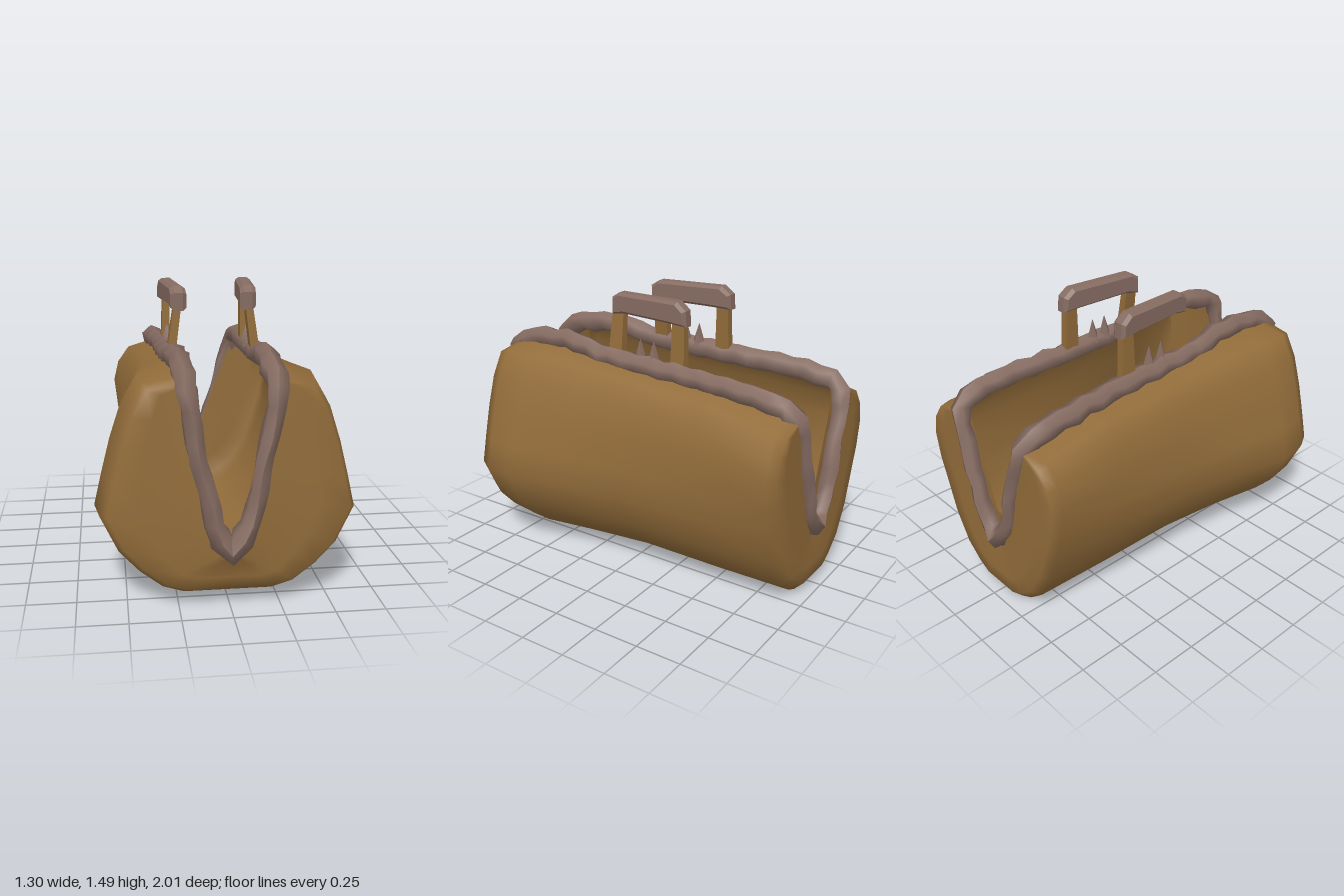
import * as THREE from 'three';

// Half sections from rim to floor: x as a share of width, y as a share of height.
// The front is a low round barrel, the back end has high shoulders and a narrow floor.
const FRONT = [[0.36, 1], [0.66, 0.97], [0.78, 0.85], [0.87, 0.69], [0.94, 0.53], [1, 0.38],
  [0.86, 0.21], [0.7, 0.11], [0.52, 0.03], [0.35, 0], [0, 0]];
const BACK = [[0.55, 1], [0.82, 0.95], [0.95, 0.86], [1, 0.75], [0.95, 0.6], [0.85, 0.45],
  [0.74, 0.28], [0.56, 0.12], [0.37, 0.04], [0.22, 0], [0, 0]];
// Stations along the bag: z, half width, floor y, rim y, share of the back section
const STATIONS = [[-0.955, 0.505, 0.06, 1.03, 1], [-0.9, 0.525, 0.006, 1.04, 0.9],
  [-0.5, 0.525, 0.03, 1.09, 0.45], [-0.05, 0.535, 0.05, 1.11, 0.25], [0.3, 0.575, 0.045, 1.14, 0.1],
  [0.62, 0.65, 0.045, 1.16, 0], [0.8, 0.625, 0.06, 1.15, 0], [0.87, 0.59, 0.1, 1.13, 0]];

// Open barrel whose end walls are cut by a V; inset and endInset shrink it for the lining
function shellGeometry(inset, endInset, frontTip, backTip, edgeZ) {
  const last = FRONT.length - 1;
  const section = ([z, w, b, t, back]) => FRONT.map(([fu, fv], i) => {
    const u = fu + (BACK[i][0] - fu) * back, v = fv + (BACK[i][1] - fv) * back;
    return i === 0
      ? [0.23 - 0.03 * z, t, z * (1 - endInset)]
      : [u * (w - inset), b + inset + v * (t - b - inset), z * (1 - endInset)];
  });
  const endRows = (row, tip, tipZ) => [0.3, 0.65, 1].map(s => row.map(([x, y, z], i) => {
    const f = i / last, drop = Math.min(1, f / 0.8);
    const edge = [row[0][0] * (1 - f), row[0][1] + (tip - row[0][1]) * drop, z + (tipZ - z) * f];
    return [x + (edge[0] - x) * s, y + (edge[1] - y) * s, z + (edge[2] - z) * s * s];
  }));
  const body = STATIONS.map(section);
  const rows = [
    ...endRows(body[0], backTip, -edgeZ).reverse(),
    ...body,
    ...endRows(body[body.length - 1], frontTip, edgeZ),
  ];
  const cols = 2 * last + 1, pos = [], index = [];
  rows.forEach(row => {
    for (let c = 0; c < cols; c++) {
      const [x, y, z] = row[c <= last ? c : 2 * last - c];
      pos.push(c <= last ? x : -x, y, z);
    }
  });
  for (let r = 0; r < rows.length - 1; r++) {
    for (let c = 0; c < cols - 1; c++) {
      const a = r * cols + c, d = a + cols;
      index.push(a, d, a + 1, a + 1, d, d + 1);
    }
  }
  const g = new THREE.BufferGeometry();
  g.setAttribute('position', new THREE.Float32BufferAttribute(pos, 3));
  g.setIndex(index);
  g.computeVertexNormals();
  return g;
}

// Lumpy closed frame: up the front V, along one rim, round the back V and home
function frameGeometry() {
  const side = [[0.075, 0.42, 0.94], [0.162, 0.8, 0.925], [0.215, 1.1, 0.89], [0.215, 1.17, 0.72],
    [0.228, 1.185, 0.45], [0.238, 1.14, 0.25], [0.245, 1.115, -0.3], [0.27, 1.1, -0.65],
    [0.27, 1.05, -0.92], [0.19, 0.8, -0.945], [0.1, 0.48, -0.945]];
  const pts = [[0, 0.325, 0.935], ...side, [0, 0.345, -0.935],
    ...side.slice().reverse().map(([x, y, z]) => [-x, y, z])];
  const curve = new THREE.CatmullRomCurve3(
    pts.map(p => new THREE.Vector3(...p)), true, 'catmullrom', 0.2);
  const steps = 84, sides = 6;
  const g = new THREE.TubeGeometry(curve, steps, 1, sides, true);
  const p = g.attributes.position, v = new THREE.Vector3();
  for (let i = 0; i < p.count; i++) {
    // Slim legs, wider rims and a knob at the foot of each V
    const centre = curve.getPointAt((Math.floor(i / (sides + 1)) % steps) / steps);
    const radius = centre.y < 0.4 ? 0.066 : centre.y < 1.02 ? 0.047 : 0.058;
    v.fromBufferAttribute(p, i).sub(centre).multiplyScalar(radius).add(centre);
    p.setXYZ(i, v.x + 0.008 * Math.sin(31 * v.z + 17 * v.y),
      v.y + 0.008 * Math.sin(43 * v.z + 21 * v.x), v.z + 0.005 * Math.sin(29 * v.y + 13 * v.x));
  }
  g.computeVertexNormals();
  return g;
}

// Sideways position of a handle at a given z; the pair closes slightly toward the front
const handleX = z => 0.205 - 0.085 * (z + 0.05);

function gripGeometry(side) {
  const outline = [[-0.275, 1.39], [-0.27, 1.45], [-0.225, 1.485], [0.15, 1.48], [0.19, 1.455],
    [0.19, 1.385], [0.12, 1.4], [-0.18, 1.395]];
  const g = new THREE.ExtrudeGeometry(new THREE.Shape(outline.map(p => new THREE.Vector2(...p))),
    { depth: 0.045, bevelSize: 0.015, bevelThickness: 0.02, bevelSegments: 1 });
  g.translate(0, 0, -0.0225).rotateY(-Math.PI / 2);
  const p = g.attributes.position;
  for (let i = 0; i < p.count; i++) p.setX(i, p.getX(i) + side * handleX(p.getZ(i)));
  g.computeVertexNormals();
  return g;
}

// Four-sided tapered strap between two points
function postGeometry(from, to) {
  const curve = new THREE.LineCurve3(from, to);
  const g = new THREE.CylinderGeometry(0.045, 0.055, curve.getLength(), 4, 1, false, Math.PI / 4)
    .toNonIndexed();
  g.scale(0.6, 1, 1.1);
  g.computeVertexNormals();
  const dir = to.clone().sub(from).normalize();
  g.applyQuaternion(new THREE.Quaternion().setFromUnitVectors(new THREE.Vector3(0, 1, 0), dir));
  const mid = curve.getPoint(0.5);
  return g.translate(mid.x, mid.y, mid.z);
}

export function createModel() {
  const leather = new THREE.MeshStandardMaterial({ color: 0x926c3a, side: THREE.DoubleSide });
  leather.name = 'tan leather';
  const trim = new THREE.MeshStandardMaterial({ color: 0x866c62 });
  trim.name = 'dusty brown trim';

  const model = new THREE.Group();
  model.name = 'openBag';
  const add = (name, geometry, material, parent = model) => {
    const mesh = new THREE.Mesh(geometry, material);
    mesh.name = name;
    parent.add(mesh);
    return mesh;
  };

  add('bagBody', shellGeometry(0, 0, 0.3, 0.31, 0.94), leather);
  add('bagLining', shellGeometry(0.04, 0.07, 0.37, 0.48, 0.9), leather);
  add('mouthFrame', frameGeometry(), trim);

  for (const side of [1, -1]) {
    const handle = new THREE.Group();
    handle.name = side > 0 ? 'leftHandle' : 'rightHandle';
    model.add(handle);
    add('grip', gripGeometry(side), trim, handle);
    for (const z of [0.165, -0.235]) {
      add('handleStrap', postGeometry(new THREE.Vector3(side * 0.228, 1.13, z),
        new THREE.Vector3(side * handleX(z), 1.42, z)), leather, handle);
    }
    // Small pointed clasp teeth on the rim
    for (const z of [0.01, -0.075]) {
      const tooth = add('claspTooth', new THREE.ConeGeometry(0.045, 0.13, 4), trim, handle);
      tooth.position.set(side * 0.225, 1.205, z);
    }
  }
  return model;
}
